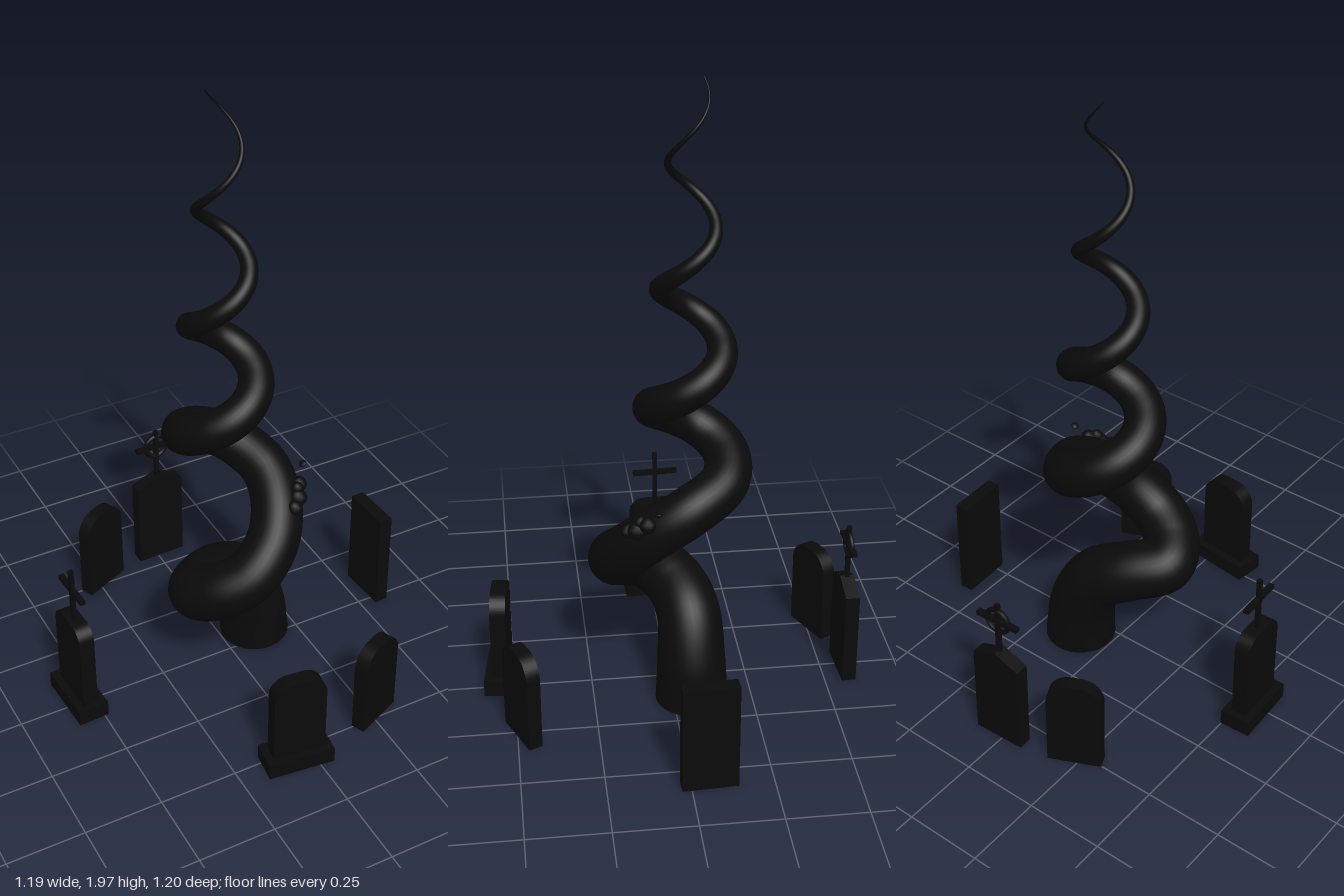
import * as THREE from 'three';

const dark = new THREE.MeshStandardMaterial({ color: 0x0a0a0a });
const darkThin = new THREE.MeshStandardMaterial({ color: 0x0a0a0a, side: THREE.DoubleSide });

function add(parent, name, geometry, x = 0, y = 0, z = 0, material = dark) {
  const mesh = new THREE.Mesh(geometry, material);
  mesh.name = name;
  mesh.position.set(x, y, z);
  parent.add(mesh);
  return mesh;
}

// Tube radius by height
const radii = [[0, 0.115], [0.15, 0.107], [0.3, 0.099], [0.36, 0.092], [0.46, 0.086], [0.7, 0.078], [0.87, 0.067],
  [1.07, 0.053], [1.26, 0.037], [1.45, 0.025], [1.64, 0.014], [1.83, 0.006], [2, 0.0008]];
function radiusAt(y) {
  for (let i = 1; i < radii.length; i++) {
    const [y0, r0] = radii[i - 1], [y1, r1] = radii[i];
    if (y <= y1) return THREE.MathUtils.lerp(r0, r1, Math.max(0, (y - y0) / (y1 - y0)));
  }
  return radii[radii.length - 1][1];
}

// Trunk that bends over, then winds up as a tapering helix
function spire() {
  const group = new THREE.Group();
  group.name = 'spire';
  const path = [[0.12, 0, -0.06], [0.107, 0.14, -0.06], [0.045, 0.265, -0.058], [-0.055, 0.322, -0.025],
    [-0.145, 0.352, 0.05], [-0.11, 0.39, 0.125], [-0.02, 0.445, 0.165], [0.075, 0.525, 0.135],
    [0.13, 0.61, 0.06], [0.142, 0.68, -0.04]].map(p => new THREE.Vector3(...p));
  for (let y = 0.735; y <= 2.0001; y += 0.03163) {
    const angle = 2 * Math.PI * (y - 0.685) / 0.384;
    const R = 0.12 - 0.06 * (y - 0.8);
    path.push(new THREE.Vector3(R * Math.cos(angle), y, -0.062 - R * Math.sin(angle)));
  }
  const geometry = new THREE.TubeGeometry(new THREE.CatmullRomCurve3(path), 400, 1, 32);
  const pos = geometry.attributes.position, nor = geometry.attributes.normal;
  const p = new THREE.Vector3(), n = new THREE.Vector3();
  for (let i = 0; i < pos.count; i++) {
    n.fromBufferAttribute(nor, i);
    p.fromBufferAttribute(pos, i).sub(n);
    p.addScaledVector(n, radiusAt(p.y));
    pos.setXYZ(i, p.x, Math.max(0, p.y), p.z);
  }
  add(group, 'spiralTube', geometry);
  add(group, 'baseCap', new THREE.CircleGeometry(0.115, 32), 0.12, 0.001, -0.06, darkThin).rotation.x = Math.PI / 2;

  // Small lumps on the front of the lower coil
  const lumps = [[0.15, 0.635, 0.14, 0.025], [0.175, 0.65, 0.115, 0.03], [0.195, 0.675, 0.085, 0.026],
    [0.178, 0.68, 0.105, 0.02]];
  for (const [x, y, z, r] of lumps) add(group, 'lump', new THREE.IcosahedronGeometry(r, 1), x, y, z);
  const chip = add(group, 'chip', new THREE.SphereGeometry(0.013, 10, 8), 0.225, 0.725, 0.055);
  chip.scale.set(1, 0.5, 1);
  chip.rotation.z = 0.5;
  return group;
}

// Upright slab with a flat, rounded or gabled top
function slabGeometry(width, y0, height, depth, top, size) {
  const w = width / 2, s = new THREE.Shape();
  s.moveTo(-w, y0);
  s.lineTo(w, y0);
  if (top === 'round') {
    s.lineTo(w, height - size);
    s.absarc(w - size, height - size, size, 0, Math.PI / 2);
    s.absarc(-w + size, height - size, size, Math.PI / 2, Math.PI);
  } else if (top === 'gable') {
    s.lineTo(w, height - size);
    s.lineTo(0, height);
    s.lineTo(-w, height - size);
  } else {
    s.lineTo(w, height);
    s.lineTo(-w, height);
  }
  s.closePath();
  return new THREE.ExtrudeGeometry(s, { depth, bevelEnabled: false, curveSegments: 10 }).translate(0, 0, -depth / 2);
}

function gravestone({ name, x, z, turn, height, depth = 0.045, top = 'flat', size = 0, plinth, cross, ring }) {
  const group = new THREE.Group();
  group.name = name;
  group.position.set(x, 0, z);
  group.rotation.y = turn;
  add(group, 'slab', slabGeometry(0.17, plinth ? 0.04 : 0, height, depth, top, size));
  if (plinth) add(group, 'plinth', new THREE.BoxGeometry(0.215, 0.052, 0.1), 0, 0.026, 0);
  if (cross) {
    const bottom = height - 0.02;
    add(group, 'crossPost', new THREE.BoxGeometry(0.014, cross - bottom, 0.014), 0, (cross + bottom) / 2, 0);
    add(group, 'crossArm', new THREE.BoxGeometry(0.15, 0.014, 0.018), 0, 0.462, 0);
  }
  if (ring) add(group, 'crossRing', new THREE.TorusGeometry(0.04, 0.008, 8, 24), 0, 0.462, 0);
  return group;
}

export function createModel() {
  const model = new THREE.Group();
  model.name = 'spireAndGravestones';
  model.add(spire());
  const stones = [
    { name: 'rightGravestone', x: -0.542, z: -0.017, turn: -Math.PI / 2 + 0.05, height: 0.35, depth: 0.05,
      top: 'round', size: 0.05, plinth: true, cross: 0.535 },
    { name: 'backRightGravestone', x: -0.232, z: -0.518, turn: 0.44, height: 0.31, top: 'round', size: 0.07 },
    { name: 'backGravestone', x: 0.013, z: -0.574, turn: 0.04, height: 0.345, top: 'gable', size: 0.035,
      cross: 0.525, ring: true },
    { name: 'leftGravestone', x: 0.568, z: -0.055, turn: -Math.PI / 2 + 0.05, height: 0.35 },
    { name: 'frontLeftGravestone', x: 0.258, z: 0.481, turn: 0.41, height: 0.31, top: 'round', size: 0.07 },
    { name: 'frontGravestone', x: -0.055, z: 0.535, turn: -0.12, height: 0.34, depth: 0.05,
      top: 'round', size: 0.06, plinth: true },
  ];
  for (const stone of stones) model.add(gravestone(stone));
  return model;
}
